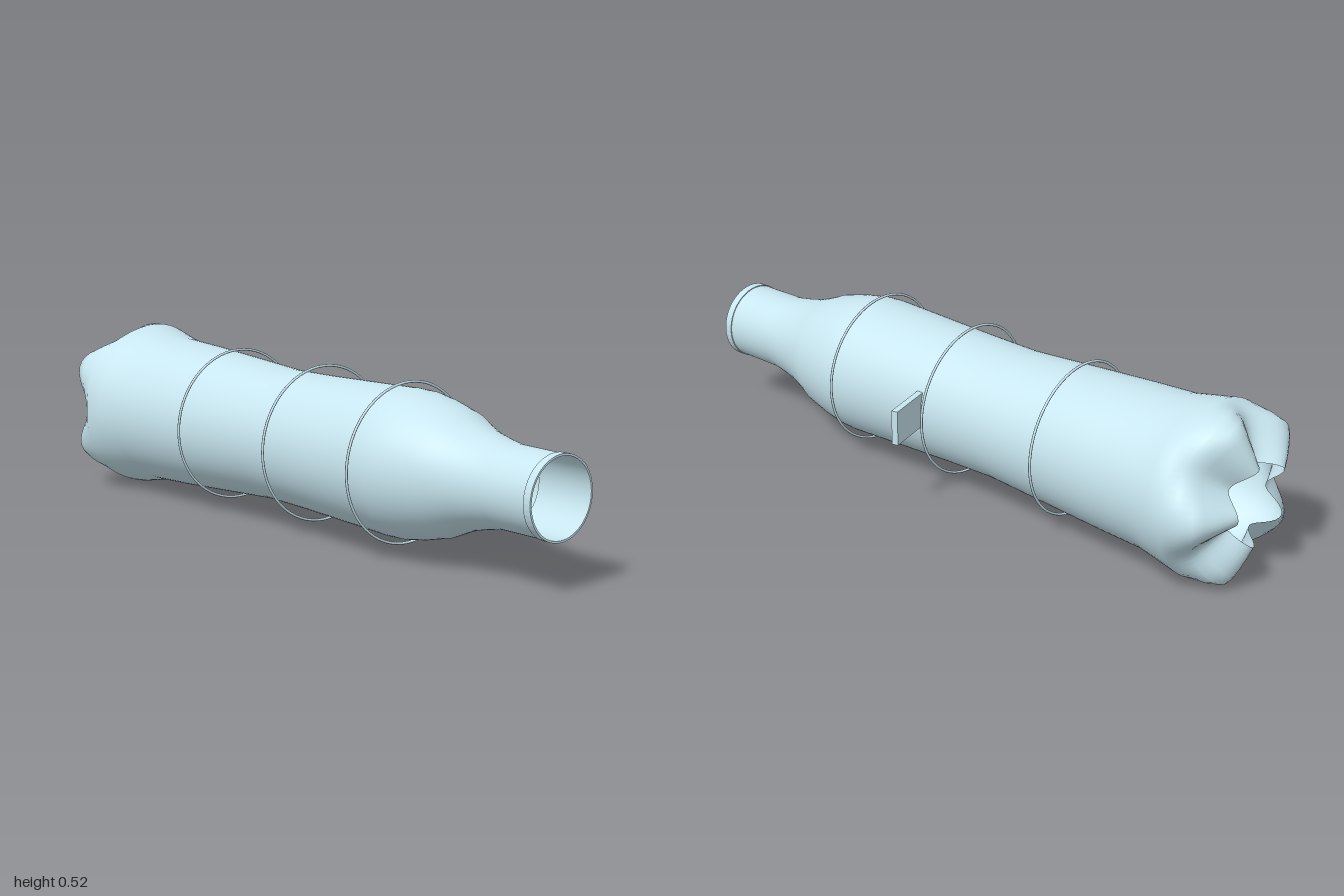
import * as THREE from 'three';
import { mergeVertices } from 'three/addons/utils/BufferGeometryUtils.js';

const AXIS_Y = 0.265, AXIS_Z = 0.04; // centre line of the bottle, running along x

export function createModel() {
  const model = new THREE.Group();
  const material = new THREE.MeshStandardMaterial({ color: 0xc8e6f0, side: THREE.DoubleSide });

  const add = (name, geometry, x = 0, y = AXIS_Y, z = AXIS_Z) => {
    const mesh = new THREE.Mesh(geometry, material);
    mesh.name = name;
    mesh.position.set(x, y, z);
    model.add(mesh);
    return mesh;
  };

  // Turned shape along x from [x, radius] pairs
  const turned = (profile, segments) =>
    new THREE.LatheGeometry(profile.map(([x, r]) => new THREE.Vector2(r, x)), segments).rotateZ(-Math.PI / 2);

  // Thin bottle shell: cut-open lobed base, waisted body, shoulder and neck
  const profile = [
    [-1, 0.122], [-0.985, 0.165], [-0.96, 0.222], [-0.94, 0.252], [-0.9, 0.262], [-0.84, 0.264],
    [-0.78, 0.249], [-0.7, 0.233], [-0.55, 0.226], [-0.37, 0.215], [-0.13, 0.2], [0.04, 0.203], [0.2, 0.208],
    [0.41, 0.215], [0.46, 0.213], [0.52, 0.203], [0.6, 0.183], [0.65, 0.161], [0.7, 0.142],
    [0.76, 0.128], [0.82, 0.118], [0.98, 0.117],
  ];
  let shell = turned(profile, 80);
  const pos = shell.attributes.position;
  for (let i = 0; i < pos.count; i++) {
    const x = pos.getX(i), y = pos.getY(i), z = pos.getZ(i);
    // five valleys pressed between the feet, deepest at the opening
    const valley = (1 + Math.cos(5 * Math.atan2(y, z))) / 2;
    const depth = valley * THREE.MathUtils.smoothstep(-x, 0.8, 0.98);
    const k = 1 - 0.16 * depth;
    pos.setXYZ(i, x + 0.06 * depth, y * k, z * k);
  }
  shell.deleteAttribute('uv');
  shell.deleteAttribute('normal');
  shell = mergeVertices(shell, 1e-5);
  shell.computeVertexNormals();
  add('bottleShell', shell);

  // Sleeve inside the neck and the collar at its mouth
  add('neckSleeve', turned([[0.81, 0.114], [1, 0.114]], 48));
  add('neckCollar', turned([[0.975, 0.114], [0.975, 0.12], [1, 0.12], [1, 0.114]], 48).toNonIndexed())
    .geometry.computeVertexNormals();

  // Loose hoops around the body
  for (const x of [-0.37, 0.04, 0.41])
    add('hoop', new THREE.TorusGeometry(0.233, 0.004, 8, 64).rotateY(Math.PI / 2), x);

  // Slanted plate pushed through the back wall
  add('plate', new THREE.BoxGeometry(0.02, 0.108, 0.272), 0.08, 0.289, -0.165).rotation.y = 0.22;

  return model;
}
